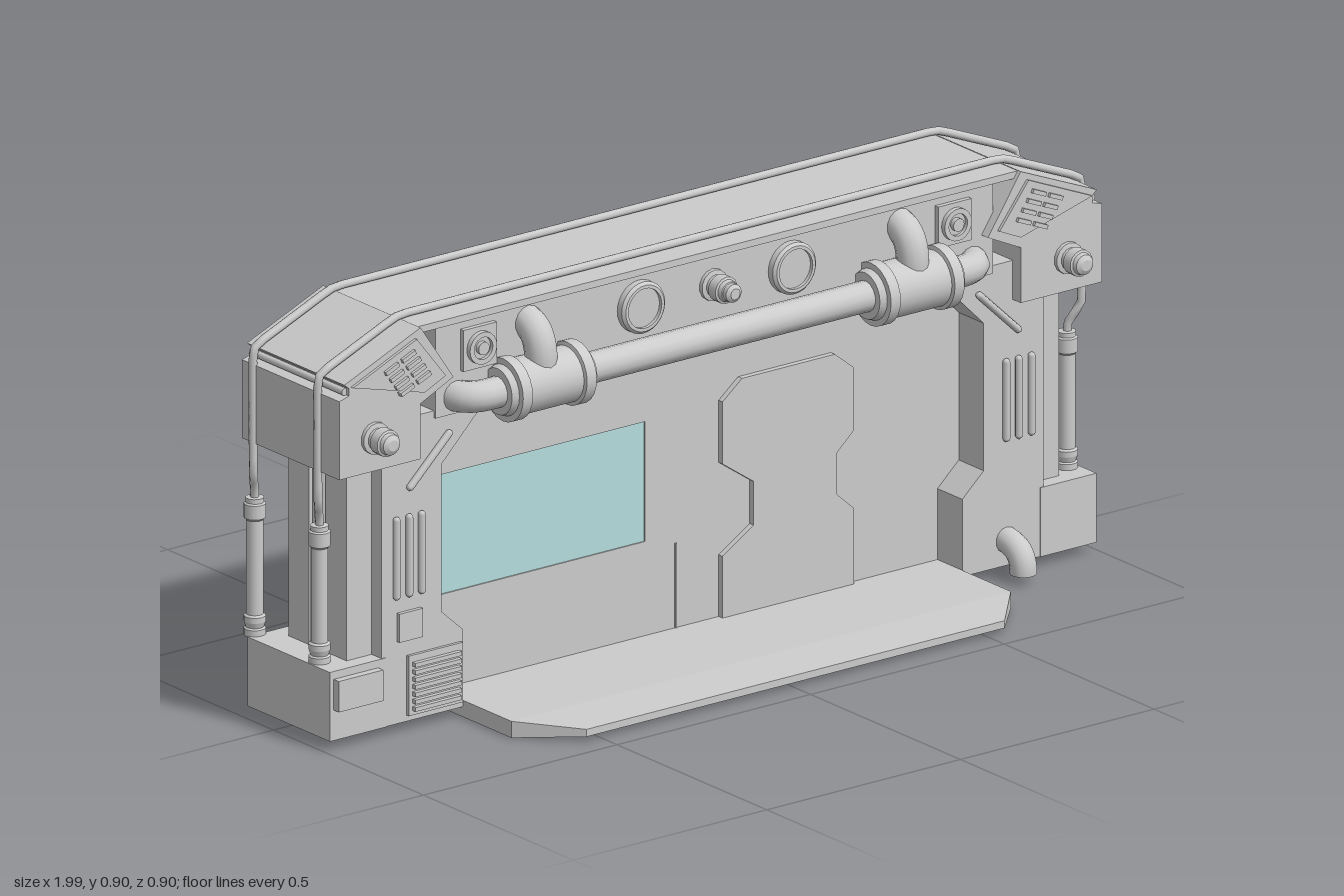
import * as THREE from 'three';

const grey = new THREE.MeshStandardMaterial({ color: 0xcccccc });
const glass = new THREE.MeshStandardMaterial({ color: 0xb4dcdc });
const MID_Z = 0.0375; // mid-plane of the wall: the back kit is the front kit turned about it

function add(parent, name, geometry, material = grey) {
  const mesh = new THREE.Mesh(geometry, material);
  mesh.name = name;
  parent.add(mesh);
  return mesh;
}

// Box from its min and max corners
function box(parent, name, x0, x1, y0, y1, z0, z1, material) {
  const g = new THREE.BoxGeometry(x1 - x0, y1 - y0, z1 - z0);
  g.translate((x0 + x1) / 2, (y0 + y1) / 2, (z0 + z1) / 2);
  return add(parent, name, g, material);
}

const shapeOf = (pts) => new THREE.Shape(pts.map((p) => new THREE.Vector2(p[0], p[1])));
const mirrorX = (pts, s) => pts.map(([x, y]) => [x * s, y]);

// Outline in x, y extruded from z0 to z1, with optional holes
function plate(parent, name, pts, z0, z1, holes = []) {
  const shape = shapeOf(pts);
  holes.forEach((h) => shape.holes.push(shapeOf(h)));
  const g = new THREE.ExtrudeGeometry(shape, { depth: z1 - z0, bevelEnabled: false });
  return add(parent, name, g.translate(0, 0, z0));
}

// Turned part: profile of [radius, height], aimed along an axis
function turned(parent, name, profile, axis, x, y, z, segments = 20) {
  // Doubled points keep the edges of the profile crisp
  const pts = profile.flatMap(([r, h], i) => {
    const p = new THREE.Vector2(r, h);
    return i > 0 && i < profile.length - 1 ? [p, p.clone()] : [p];
  });
  const mesh = add(parent, name, new THREE.LatheGeometry(pts, segments));
  if (axis === 'x') mesh.rotation.z = -Math.PI / 2;
  if (axis === 'z') mesh.rotation.x = Math.PI / 2;
  mesh.position.set(x, y, z);
}

// Pipe along straight runs joined by rounded corners
function pipe(parent, name, pts, radius, bend, sides = 14) {
  const v = pts.map((p) => new THREE.Vector3(...p));
  const path = new THREE.CurvePath();
  let from = v[0];
  for (let i = 1; i < v.length - 1; i++) {
    const step = (to) => {
      const d = to.clone().sub(v[i]);
      return v[i].clone().addScaledVector(d, Math.min(bend / d.length(), 0.95));
    };
    const a = step(v[i - 1]), b = step(v[i + 1]);
    path.add(new THREE.LineCurve3(from, a));
    path.add(new THREE.QuadraticBezierCurve3(a, v[i], b));
    from = b;
  }
  path.add(new THREE.LineCurve3(from, v[v.length - 1]));
  add(parent, name, new THREE.TubeGeometry(path, 100, radius, sides, false));
}

// Rounded bar between two points on a face
function bar(parent, name, x0, y0, x1, y1, z) {
  const len = Math.hypot(x1 - x0, y1 - y0);
  const mesh = add(parent, name, new THREE.CapsuleGeometry(0.008, len, 4, 8));
  mesh.position.set((x0 + x1) / 2, (y0 + y1) / 2, z);
  mesh.rotation.z = -Math.atan2(x1 - x0, y1 - y0);
}

function knob(parent, x, y, z) {
  turned(parent, 'knob', [[0.034, 0], [0.034, 0.01], [0.024, 0.012], [0.024, 0.022], [0.029, 0.024], [0.029, 0.048],
    [0.024, 0.05], [0.022, 0.06], [0.012, 0.066], [0, 0.066]], 'z', x, y, z, 14);
}

// Platform lofted through stations of [z, half width, bottom, top]
function platform(parent) {
  const stations = [[-0.455, 0.495, 0.013, 0.022], [-0.275, 0.645, 0, 0.036],
    [0.335, 0.645, 0, 0.036], [0.45, 0.54, 0.012, 0.028]];
  const pos = stations.flatMap(([z, w, b, t]) => [-w, b, z, w, b, z, w, t, z, -w, t, z]);
  const index = [0, 2, 1, 0, 3, 2, 12, 13, 14, 12, 14, 15];
  for (let s = 0; s < 3; s++) {
    for (let k = 0; k < 4; k++) {
      const a = s * 4 + k, b = s * 4 + ((k + 1) % 4);
      index.push(a, b, b + 4, a, b + 4, a + 4);
    }
  }
  let g = new THREE.BufferGeometry();
  g.setAttribute('position', new THREE.Float32BufferAttribute(pos, 3));
  g.setIndex(index);
  g = g.toNonIndexed();
  g.computeVertexNormals();
  add(parent, 'platform', g);
}

// Everything mounted on one long face
function faceKit(parent, isFront) {
  const kit = new THREE.Group();
  kit.name = isFront ? 'frontKit' : 'backKit';
  kit.position.z = -MID_Z;
  parent.add(kit);

  // Main pipe with its ends turned into the wall
  pipe(kit, 'mainPipe', [[-0.67, 0.703, 0.09], [-0.67, 0.703, 0.212], [0.67, 0.703, 0.212], [0.67, 0.703, 0.09]], 0.033, 0.06);

  for (const s of [-1, 1]) {
    // Side frame
    plate(kit, 'sideFrame', mirrorX([[0.645, 0.022], [0.855, 0.022], [0.855, 0.62], [0.79, 0.68], [0.6, 0.68],
      [0.6, 0.66], [0.7, 0.56], [0.7, 0.24], [0.645, 0.19]], s), 0.08, 0.173);
    for (const x of [0.755, 0.787, 0.82]) bar(kit, 'slotBar', s * x, 0.3, s * x, 0.465, 0.178);
    bar(kit, 'diagonalBar', s * 0.785, 0.53, s * 0.685, 0.625, 0.178);

    // Pipe canister with end flanges
    turned(kit, 'canister', [[0.03, -0.11], [0.05, -0.11], [0.055, -0.095], [0.068, -0.095], [0.068, -0.07],
      [0.06, -0.068], [0.06, 0.068], [0.068, 0.07], [0.068, 0.095], [0.055, 0.095], [0.05, 0.11], [0.03, 0.11]],
    'x', s * 0.475, 0.703, 0.21, 24);
    if (isFront) pipe(kit, 'canisterElbow', [[s * 0.48, 0.73, 0.22], [s * 0.48, 0.828, 0.22], [s * 0.48, 0.828, 0.14]], 0.034, 0.075);

    // Gauge and square vent on the header
    turned(kit, 'gauge', [[0.056, 0], [0.056, 0.016], [0.05, 0.022], [0.043, 0.022], [0.043, 0.014], [0, 0.014]],
      'z', s * 0.195, 0.795, 0.178, 28);
    box(kit, 'ventPlate', s * 0.613 - 0.043, s * 0.613 + 0.043, 0.755, 0.845, 0.17, 0.19);
    turned(kit, 'ventRing', [[0.035, 0], [0.035, 0.012], [0.024, 0.012], [0.024, 0.004], [0.014, 0.004], [0.014, 0.014], [0, 0.014]],
      'z', s * 0.613, 0.8, 0.189);

    // Corner armour
    knob(kit, s * 0.895, 0.668, 0.199);
    plate(kit, 'cornerPanel', mirrorX([[0.955, 0.79], [0.79, 0.86], [0.715, 0.765], [0.77, 0.74]], s), 0.198, 0.207);
    for (let i = 0; i < 4; i++) {
      for (let j = 0; j < 2; j++) {
        const rib = add(kit, 'cornerRib', new THREE.BoxGeometry(0.036, 0.009, 0.012));
        rib.position.set(s * (0.775 + i * 0.013 + j * 0.043), 0.775 + i * 0.018 - j * 0.018, 0.208);
        rib.rotation.z = -s * 0.4;
      }
    }
  }
  knob(kit, -0.005, 0.8, 0.178);
  turned(kit, 'knobTip', [[0.02, 0], [0.02, 0.01], [0.012, 0.016], [0, 0.016]], 'z', -0.005, 0.8, 0.24, 14);

  // Grille, small hatch and end panel
  box(kit, 'grilleFrame', -0.79, -0.65, 0.035, 0.165, 0.17, 0.18);
  for (let i = 0; i < 7; i++) {
    box(kit, 'grilleSlat', -0.78, -0.66, 0.045 + i * 0.016, 0.054 + i * 0.016, 0.178, 0.19);
  }
  box(kit, 'hatch', -0.815, -0.755, 0.2, 0.262, 0.17, 0.182);
  box(kit, 'endPanel', -0.98, -0.865, 0.088, 0.155, 0.172, 0.192);
}

export function createModel() {
  const model = new THREE.Group();
  model.name = 'bulkheadGate';
  platform(model);

  // Wall with a window opening
  plate(model, 'wall', [[-0.8, 0.03], [0.8, 0.03], [0.8, 0.68], [-0.8, 0.68]], -0.055, 0.09,
    [[[-0.7, 0.24], [-0.11, 0.24], [-0.11, 0.5], [-0.7, 0.5]]]);
  box(model, 'window', -0.705, -0.105, 0.235, 0.505, -0.052, 0.087, glass);
  box(model, 'backSeam', -0.034, -0.03, 0.03, 0.22, -0.058, -0.05);
  box(model, 'frontSeam', -0.034, -0.03, 0.03, 0.22, 0.085, 0.093);

  // Door panel
  plate(model, 'door', [[0.08, 0.03], [0.42, 0.03], [0.42, 0.2], [0.375, 0.24], [0.375, 0.33], [0.42, 0.37], [0.42, 0.505],
    [0.37, 0.545], [0.13, 0.545], [0.08, 0.505], [0.08, 0.37], [0.16, 0.315], [0.16, 0.22], [0.08, 0.17]], 0.085, 0.103);

  // Header and roof
  box(model, 'header', -0.72, 0.72, 0.665, 0.872, -0.104, 0.179);
  box(model, 'roof', -0.775, 0.775, 0.864, 0.879, -0.115, 0.19);

  for (const s of [-1, 1]) {
    const lo = Math.min(s * 0.845, s * 0.99), hi = Math.max(s * 0.845, s * 0.99);
    // Corner block with a groove under the sloping roof
    plate(model, 'cornerBlock', mirrorX([[0.775, 0.595], [0.985, 0.595], [0.985, 0.765], [0.96, 0.772], [0.96, 0.788],
      [0.972, 0.798], [0.775, 0.88], [0.69, 0.755], [0.775, 0.715]], s), -0.125, 0.2);
    turned(model, 'grooveRod', [[0, -0.155], [0.008, -0.155], [0.008, 0.155], [0, 0.155]], 'z', s * 0.965, 0.78, MID_Z, 10);

    // Hollow foot block, open below
    box(model, 'footTop', lo, hi, 0.155, 0.172, -0.1, 0.175);
    box(model, 'footFront', lo, hi, 0.022, 0.157, 0.165, 0.175);
    box(model, 'footBack', lo, hi, 0.022, 0.157, -0.1, -0.09);
    for (const x of [lo, hi - 0.01]) box(model, 'footSide', x, x + 0.01, 0.022, 0.157, -0.095, 0.17);

    // Columns between the foot and the corner block
    const post = (name, x0, x1, z0, z1) =>
      box(model, name, Math.min(s * x0, s * x1), Math.max(s * x0, s * x1), 0.165, 0.6, z0, z1);
    post('innerPost', 0.79, 0.85, -0.06, 0.13);
    post('rearPost', 0.845, 0.92, -0.053, 0.015);
    post('frontPost', 0.845, 0.92, 0.07, 0.14);
    turned(model, 'column', [[0.023, 0.165], [0.023, 0.6]], 'y', s * 0.905, 0, 0.043);

    // Pistons
    for (const z of [0.108, -0.108]) {
      turned(model, 'piston', [[0.023, 0.17], [0.023, 0.185], [0.019, 0.188], [0.023, 0.2], [0.023, 0.212], [0.018, 0.216],
        [0.018, 0.42], [0.023, 0.425], [0.023, 0.455], [0.019, 0.458], [0.019, 0.468], [0, 0.47]], 'y', s * 0.965, 0, z, 16);
    }
  }

  // Thin lines from the pistons over the roof
  for (const [zLow, zHigh] of [[0.108, 0.13], [-0.108, -0.086]]) {
    const half = [[0.965, 0.46, zLow], [0.966, 0.49, zLow], [0.986, 0.525, zHigh], [0.987, 0.803, zHigh], [0.78, 0.889, zHigh]];
    const path = [...half, ...half.map(([x, y, z]) => [-x, y, z]).reverse()];
    pipe(model, 'roofLine', path, 0.009, 0.018, 8);
  }

  // Floor elbow on the right-hand frame
  pipe(model, 'floorElbow', [[0.76, 0.02, 0.228], [0.76, 0.078, 0.228], [0.76, 0.078, 0.155]], 0.028, 0.072);

  for (const isFront of [true, false]) {
    const pivot = new THREE.Group();
    pivot.name = isFront ? 'frontFace' : 'backFace';
    pivot.position.z = MID_Z;
    pivot.rotation.y = isFront ? 0 : Math.PI;
    faceKit(pivot, isFront);
    model.add(pivot);
  }
  return model;
}
